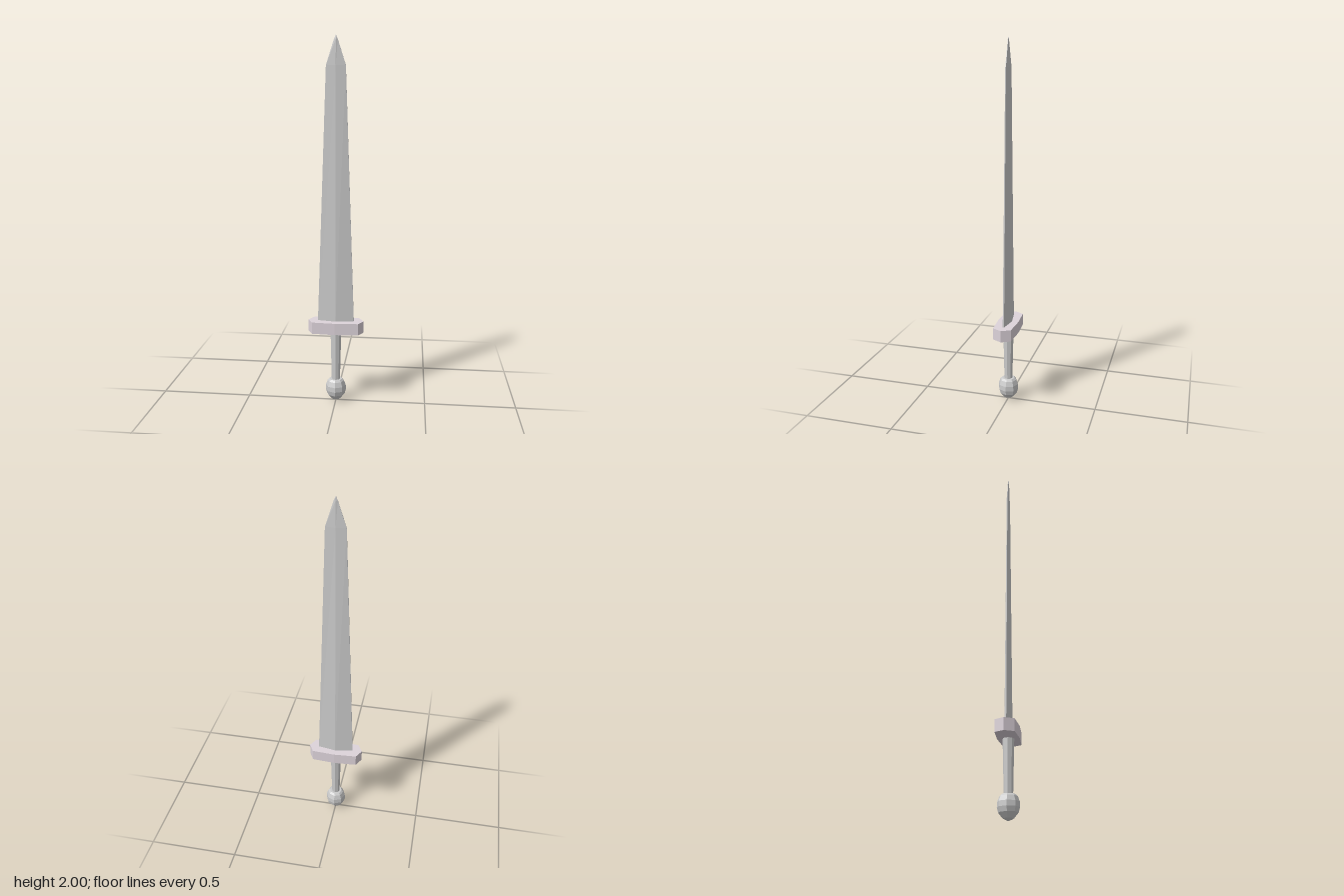
import * as THREE from 'three';

const steel = new THREE.MeshStandardMaterial({ color: 0xcccccc, flatShading: true });
const guardMaterial = new THREE.MeshStandardMaterial({ color: 0xddd3da, flatShading: true });

// Skin a stack of horizontal rings (bottom to top), closing both ends
function loft(rings) {
  const n = rings[0].length;
  const positions = rings.flat(2);
  const index = [];
  for (let r = 0; r < rings.length - 1; r++) {
    for (let i = 0; i < n; i++) {
      const a = r * n + i, b = r * n + (i + 1) % n;
      index.push(a, b, b + n, a, b + n, a + n);
    }
  }
  const top = (rings.length - 1) * n;
  for (let i = 1; i < n - 1; i++) {
    index.push(0, i + 1, i, top, top + i, top + i + 1);
  }
  const geometry = new THREE.BufferGeometry();
  geometry.setAttribute('position', new THREE.Float32BufferAttribute(positions, 3));
  geometry.setIndex(index);
  const flat = geometry.toNonIndexed();
  flat.computeVertexNormals();
  return flat;
}

// Blade section: a flat diamond with slightly blunt edges
function bladeRing([y, w, ridge, edge]) {
  return [[w, y, edge], [w, y, -edge], [0, y, -ridge], [-w, y, -edge], [-w, y, edge], [0, y, ridge]];
}

// Guard outline: a long bar with pointed ends and a slightly bowed front and back
function guardRing(y) {
  const half = [[0.154, 0], [0.127, -0.05], [0, -0.058], [-0.127, -0.05]];
  return [...half, ...half.map(([x, z]) => [-x, -z])].map(([x, z]) => [x, y, z]);
}

function turned(profile, sides) {
  return new THREE.LatheGeometry(profile.map(([r, y]) => new THREE.Vector2(r, y)), sides);
}

export function createModel() {
  const model = new THREE.Group();
  const add = (name, geometry, material) => {
    const mesh = new THREE.Mesh(geometry, material);
    mesh.name = name;
    model.add(mesh);
  };

  // y, half width, half thickness at the ridge, half thickness at the edge
  add('blade', loft([
    [0.46, 0.1, 0.021, 0.004],
    [1.85, 0.052, 0.008, 0.002],
    [1.98, 0.01, 0.004, 0.001],
    [2.0, 0.001, 0.001, 0.0005],
  ].map(bladeRing)), steel);

  add('guard', loft([guardRing(0.405), guardRing(0.47)]), guardMaterial);
  add('grip', turned([[0.023, 0.11], [0.03, 0.41]], 8), steel);
  add('pommel', turned([
    [0, 0], [0.028, 0.013], [0.05, 0.04], [0.057, 0.065],
    [0.056, 0.092], [0.046, 0.118], [0.036, 0.128], [0, 0.128],
  ], 8), steel);

  return model;
}
